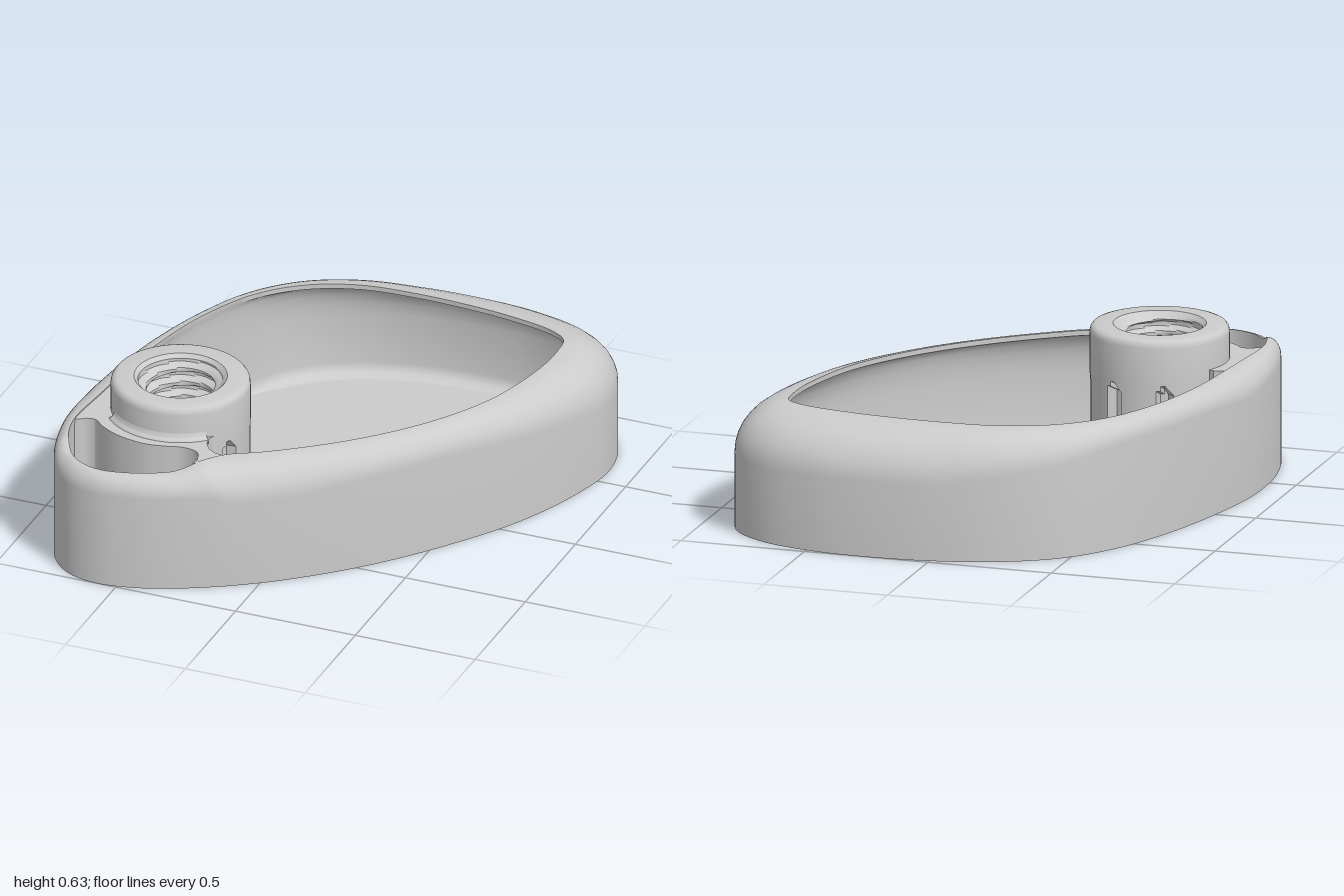
import * as THREE from 'three';
import { toCreasedNormals } from 'three/addons/utils/BufferGeometryUtils.js';

const V2 = (x, z) => new THREE.Vector2(x, z);
const smooth = THREE.MathUtils.smoothstep;

// Matching points [x, z] of the outer wall and of the top inner edge, from the tip round by +x
const OUTER = [[-0.59, 1], [-0.44, 0.98], [-0.3, 0.93], [-0.19, 0.875], [-0.08, 0.81], [0.08, 0.695],
  [0.32, 0.475], [0.54, 0.21], [0.735, -0.09], [0.855, -0.39], [0.893, -0.6], [0.845, -0.79], [0.71, -0.91],
  [0.5, -0.98], [0.28, -1], [0, -0.98], [-0.26, -0.91], [-0.47, -0.785], [-0.625, -0.59], [-0.75, -0.31],
  [-0.838, 0], [-0.885, 0.25], [-0.895, 0.42], [-0.877, 0.65], [-0.815, 0.86], [-0.715, 0.965]];
const RIM = [[-0.6, 0.945], [-0.47, 0.925], [-0.34, 0.865], [-0.265, 0.81], [-0.17, 0.7], [-0.04, 0.62],
  [0.215, 0.42], [0.435, 0.18], [0.6, -0.1], [0.68, -0.4], [0.69, -0.56], [0.675, -0.655], [0.6, -0.705],
  [0.42, -0.747], [0.25, -0.767], [0.02, -0.775], [-0.21, -0.755], [-0.405, -0.675], [-0.56, -0.53], [-0.68, -0.29],
  [-0.755, 0], [-0.785, 0.25], [-0.8, 0.42], [-0.815, 0.67], [-0.775, 0.81], [-0.7, 0.905]];
// Slot edge facing the boss, from -x to +x
const SLOT_EDGE = [[-0.8, 0.645], [-0.775, 0.628], [-0.74, 0.625], [-0.7, 0.66], [-0.62, 0.705],
  [-0.5, 0.73], [-0.42, 0.72], [-0.34, 0.7], [-0.28, 0.715], [-0.255, 0.77]];
const BOSS = { x: -0.48, z: 0.4, r: 0.27, top: 0.63 };
const FLOOR = 0.06, WALL = 0.065, STEPS = 8;
const N = OUTER.length * STEPS;

const spline = (pts, closed) =>
  new THREE.CatmullRomCurve3(pts.map(([x, z]) => new THREE.Vector3(x, 0, z)), closed);
const sample = (pts, closed, n) => {
  const curve = spline(pts, closed);
  return Array.from({ length: n }, (_, i) => {
    const p = curve.getPoint(i / (closed ? n : n - 1));
    return V2(p.x, p.z);
  });
};

// Surface closed in u, from cross-sections fn(i, j)
function grid(nu, nv, fn) {
  const pos = [], idx = [];
  for (let j = 0; j < nv; j++) for (let i = 0; i < nu; i++) pos.push(...fn(i, j));
  for (let j = 0; j < nv - 1; j++) for (let i = 0; i < nu; i++) {
    const a = j * nu + i, b = j * nu + (i + 1) % nu;
    idx.push(a, b, a + nu, b, b + nu, a + nu);
  }
  const g = new THREE.BufferGeometry();
  g.setAttribute('position', new THREE.Float32BufferAttribute(pos, 3));
  g.setIndex(idx);
  return toCreasedNormals(g, 0.6);
}

// Plan shapes lying in xz
const planShape = (pts, hole) => {
  const flip = p => V2(p.x, -p.y);
  const s = new THREE.Shape(pts.map(flip));
  if (hole) s.holes.push(new THREE.Path(hole.map(flip)));
  return s;
};

export function createModel() {
  const group = new THREE.Group();
  const mat = new THREE.MeshStandardMaterial({ color: 0xcccccc });
  const twoSided = new THREE.MeshStandardMaterial({ color: 0xcccccc, side: THREE.DoubleSide });
  const add = (name, geo, m = mat) => {
    const mesh = new THREE.Mesh(geo, m);
    mesh.name = name;
    group.add(mesh);
    return mesh;
  };

  const outer = sample(OUTER, true, N), rim = sample(RIM, true, N);

  // Shell: outer wall, rounded shoulder of varying width, lip, undercut inner wall and floor fillet
  const profiles = outer.map((o, i) => {
    const t = rim[i], w = o.distanceTo(t);
    const top = 0.5 - 0.03 * smooth(t.y, 0.77, 0.87);
    const h = THREE.MathUtils.clamp(w, 0.08, 0.2);
    const inset = d => o.clone().lerp(t, Math.min(1, d / w));
    const inner = inset(WALL);
    const fillet = THREE.MathUtils.clamp(w - WALL, 0, 0.05);
    const rows = [[o, 0]];
    for (let k = 0; k <= 9; k++) {
      const a = k / 9 * Math.PI / 2;
      rows.push([inset(w * (1 - Math.cos(a))), top - h + h * Math.sin(a)]);
    }
    rows.push([t, top - 0.02]);
    for (let k = 1; k <= 5; k++) {
      const a = k / 5 * Math.PI / 2;
      rows.push([t.clone().lerp(inner, Math.sin(a)), top - 0.02 - 0.16 * (1 - Math.cos(a))]);
    }
    for (let k = 0; k <= 4; k++) {
      const a = k / 4 * Math.PI / 2;
      rows.push([inset(WALL + fillet * (1 - Math.cos(a))), FLOOR + 0.05 * (1 - Math.sin(a))]);
    }
    rows.push([inset(WALL + fillet), 0]);
    return rows;
  });
  add('shell', grid(N, profiles[0].length, (i, j) => {
    const [p, y] = profiles[i][j];
    return [p.x, y, p.y];
  }));

  // Slot outline: the tip's inner edge closed by the edge facing the boss
  const slotEdge = sample(SLOT_EDGE, false, 50);
  const slot = [];
  for (let k = 23 * STEPS; k <= 29 * STEPS; k++) slot.push(rim[k % N]);
  slot.push(...slotEdge.slice().reverse());

  // Underside and cavity floor, both pierced by the slot
  const underside = new THREE.ShapeGeometry(planShape(outer, slot));
  underside.rotateX(-Math.PI / 2);
  add('underside', underside, twoSided);
  const floor = new THREE.ShapeGeometry(planShape(outer.map(p => p.clone().multiplyScalar(0.985)), slot));
  floor.rotateX(-Math.PI / 2).translate(0, FLOOR, 0);
  add('cavityFloor', floor);

  // Solid bridge between slot and cavity, wrapping the boss
  const bridgePts = [V2(-0.8, 0.28), V2(-0.82, 0.42), V2(-0.83, 0.66), ...slotEdge,
    V2(-0.262, 0.805), V2(-0.215, 0.775), V2(-0.15, 0.715), V2(-0.17, 0.7), V2(-0.21, 0.695),
    V2(-0.245, 0.675), V2(-0.27, 0.64), V2(-0.28, 0.6), V2(-0.27, 0.57)];
  for (let k = 0; k <= 16; k++) {
    const a = THREE.MathUtils.degToRad(42 + k * 10.25);
    bridgePts.push(V2(BOSS.x + 0.22 * Math.cos(a), BOSS.z + 0.22 * Math.sin(a)));
  }
  bridgePts.push(V2(-0.74, 0.27), V2(-0.77, 0.28));
  const bridge = new THREE.ExtrudeGeometry(planShape(bridgePts), { depth: 0.485, bevelEnabled: false });
  bridge.rotateX(-Math.PI / 2).translate(0, 0.01, 0);
  add('bridge', toCreasedNormals(bridge, 0.6));

  // Boss: round post with arched recesses low on its side
  const M = 96;
  const ring = (i, r, y) => {
    const a = -i / M * Math.PI * 2;
    return [BOSS.x + r * Math.cos(a), y, BOSS.z + r * Math.sin(a)];
  };
  const side = [FLOOR, 0.2, 0.3, 0.37, 0.39, 0.41, 0.43, 0.45, 0.6];
  const crown = [[0.267, 0.615], [0.258, 0.626], [0.245, BOSS.top], [0.18, BOSS.top], [0.165, 0.615]];
  add('boss', grid(M, side.length + crown.length, (i, j) => {
    if (j >= side.length) return ring(i, ...crown[j - side.length]);
    const off = Math.abs((i % 12) - 6);
    const recess = off <= 1 && side[j] < 0.44 - 0.03 * off ? 0.035 : 0;
    return ring(i, BOSS.r - recess, side[j]);
  }));

  // Fillet where the boss meets the bridge
  const collar = new THREE.LatheGeometry(
    [V2(0.295, 0.48), V2(0.292, 0.497), V2(0.28, 0.502), V2(0.273, 0.512), V2(0.268, 0.53)],
    48, THREE.MathUtils.degToRad(-48), THREE.MathUtils.degToRad(92));
  add('bossFillet', collar, twoSided).position.set(BOSS.x, 0, BOSS.z);

  // Threaded bore: radius follows a helix
  const pitch = 0.06, rows = 90, bottom = FLOOR + 0.02, mouth = 0.615;
  add('threadedBore', grid(M, rows + 1, (i, j) => {
    const y = mouth - (mouth - bottom) * j / rows;
    const phase = y / pitch + i / M;
    const tri = Math.abs(2 * (phase - Math.floor(phase)) - 1);
    const depth = smooth(tri, 0.25, 0.75) * smooth(j, 0, 4);
    return ring(i, 0.165 - 0.032 * depth, y);
  }));
  const boreFloor = add('boreFloor', new THREE.CircleGeometry(0.168, 48));
  boreFloor.rotation.x = -Math.PI / 2;
  boreFloor.position.set(BOSS.x, bottom + 0.005, BOSS.z);

  return group;
}
